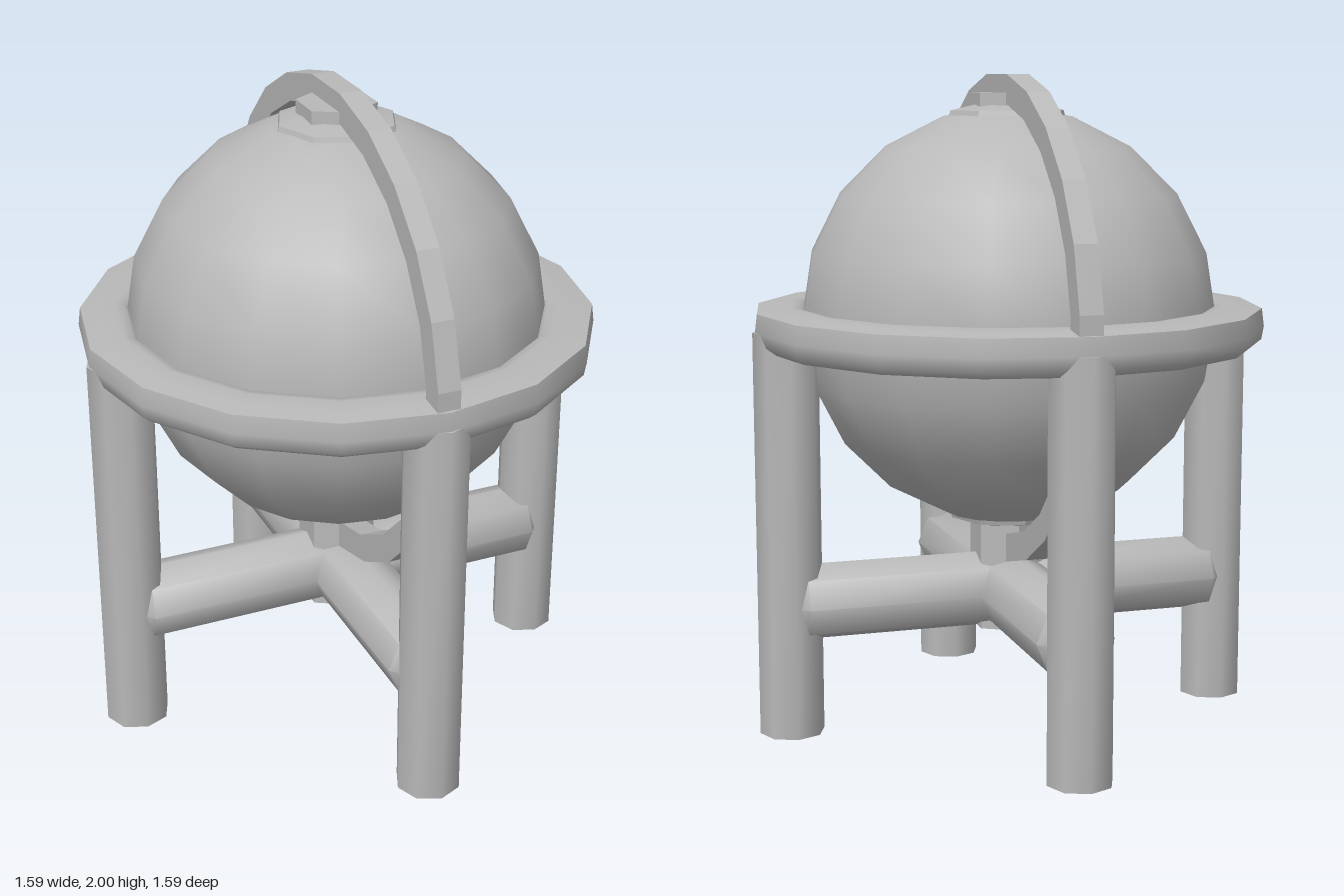
import * as THREE from 'three';
import { toCreasedNormals } from 'three/addons/utils/BufferGeometryUtils.js';

export function createModel() {
  const model = new THREE.Group();
  const grey = new THREE.MeshStandardMaterial({ color: 0xb8b8b8 });
  grey.name = 'plain grey';

  const add = (name, geometry, x = 0, y = 0, z = 0) => {
    const mesh = new THREE.Mesh(geometry, grey);
    mesh.name = name;
    mesh.position.set(x, y, z);
    model.add(mesh);
    return mesh;
  };
  const lathe = (points, sides) =>
    new THREE.LatheGeometry(points.map(([r, y]) => new THREE.Vector2(r, y)), sides);

  // Globe
  const centreY = 1.265;
  add('globe', new THREE.SphereGeometry(0.64, 16, 10), 0, centreY, 0);

  // Pole plates above and below the globe, and the upper hexagonal knob
  const plate = toCreasedNormals(lathe([[0, -0.02], [0.19, -0.02], [0.18, 0.012], [0.1, 0.03], [0, 0.03]], 8), 0.5);
  add('topPlate', plate, 0, 1.88, 0);
  add('bottomPlate', plate, 0, 0.65, 0).rotation.x = Math.PI;
  add('topKnob', toCreasedNormals(new THREE.CylinderGeometry(0.12, 0.12, 0.06, 6), 0.5), 0, 1.915, 0);

  // Rounded horizontal ring around the equator
  const horizon = lathe([
    [0.625, 1.285], [0.622, 1.21], [0.64, 1.18], [0.755, 1.18], [0.78, 1.2],
    [0.787, 1.24], [0.78, 1.295], [0.73, 1.302], [0.675, 1.31], [0.645, 1.305], [0.625, 1.285],
  ], 16);
  add('horizonRing', toCreasedNormals(horizon, 0.95));

  // Upright flat ring, slightly wider than tall, with 24 straight segments
  const oval = (rz, ry) => Array.from({ length: 24 }, (_, i) => {
    const a = ((i + 0.5) / 24) * Math.PI * 2;
    return new THREE.Vector2(Math.cos(a) * rz, Math.sin(a) * ry);
  });
  const band = new THREE.Shape(oval(0.777, 0.752));
  band.holes.push(new THREE.Path(oval(0.7, 0.665)));
  const meridian = new THREE.ExtrudeGeometry(band, { depth: 0.07, bevelEnabled: false });
  meridian.translate(0, 0, -0.035).rotateY(Math.PI / 2);
  add('meridianRing', meridian, 0, 1.255, 0);

  // Centre post joining the crossbars to the globe
  add('centrePost', toCreasedNormals(new THREE.CylinderGeometry(0.12, 0.12, 0.38, 6), 0.5), 0, 0.48, 0);

  // Four legs, each with a crossbar whose outer end is chamfered
  const leg = toCreasedNormals(new THREE.CylinderGeometry(0.1, 0.1, 1.24, 8), 0.9);
  const bar = toCreasedNormals(lathe([[0, 0], [0.118, 0], [0.118, 0.655], [0.085, 0.685], [0, 0.685]], 8), 0.9);
  bar.rotateZ(-Math.PI / 2);
  for (let i = 0; i < 4; i++) {
    const a = (i * Math.PI) / 2;
    add('leg', leg, Math.cos(a) * 0.695, 0.62, -Math.sin(a) * 0.695);
    add('crossbar', bar, 0, 0.405, 0).rotation.y = a;
  }
  return model;
}
